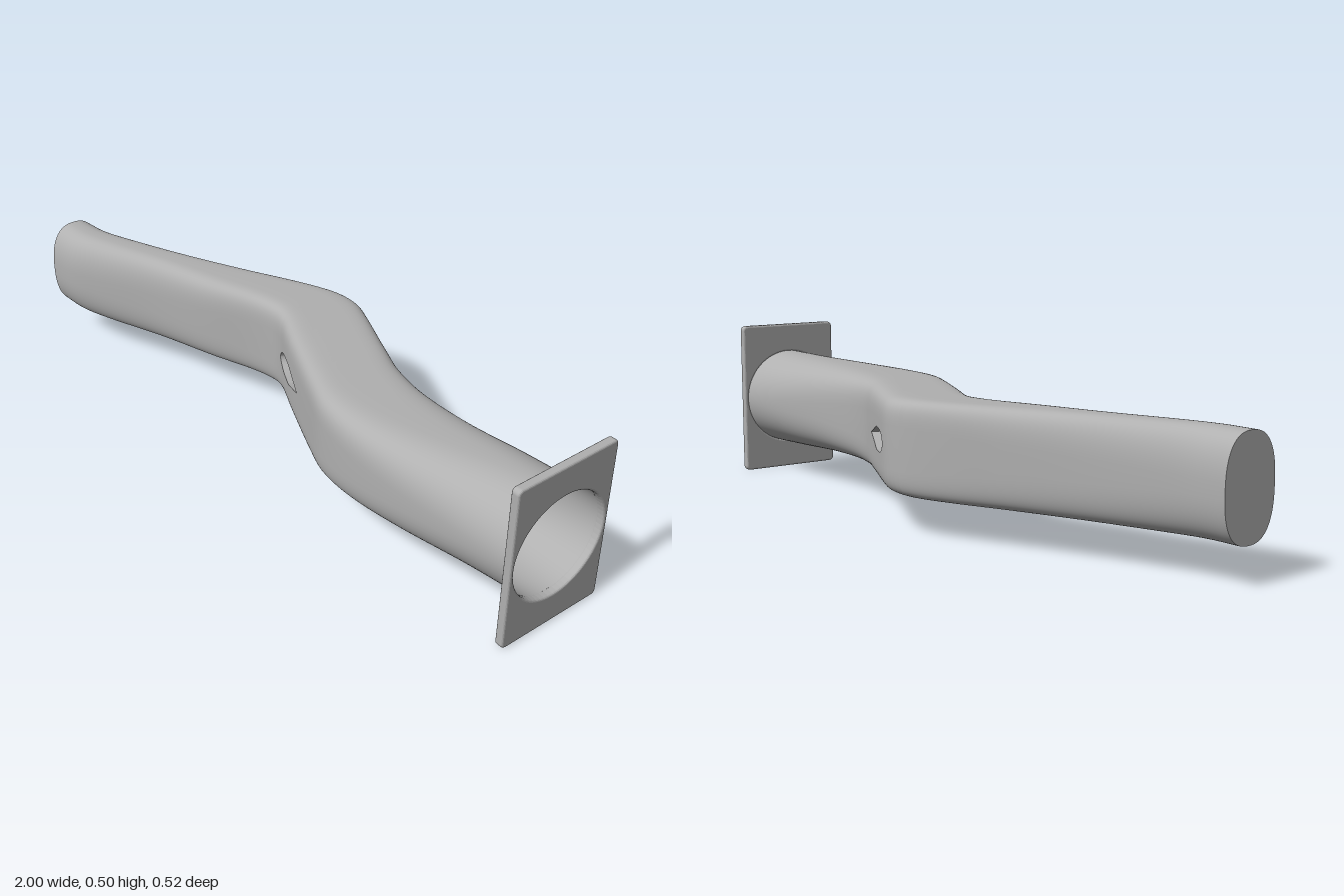
import * as THREE from 'three';
import { mergeVertices } from 'three/addons/utils/BufferGeometryUtils.js';

const MID = 0.25; // height of the duct axis

// stations along the duct: x, front z, back z, half height, squareness of the section
const STATIONS = [
  [-1.0, 0.26, 0.09, 0.143, 2.5],
  [-0.9, 0.25, 0.077, 0.143, 2.6],
  [-0.8, 0.215, 0.045, 0.143, 2.8],
  [-0.6, 0.13, -0.035, 0.142, 3.3],
  [-0.4, 0.06, -0.13, 0.141, 4.2],
  [-0.25, 0.0, -0.205, 0.14, 5.2],
  [-0.16, -0.02, -0.244, 0.14, 5.8],
  [-0.11, -0.011, -0.259, 0.14, 6],
  [-0.05, 0.015, -0.263, 0.14, 6],
  [0.0, 0.038, -0.25, 0.14, 6],
  [0.2, 0.123, -0.168, 0.14, 5.6],
  [0.3, 0.16, -0.132, 0.14, 5],
  [0.43, 0.175, -0.116, 0.141, 4],
  [0.6, 0.166, -0.13, 0.145, 3],
  [0.8, 0.14, -0.17, 0.152, 2.3],
  [0.96, 0.122, -0.192, 0.158, 2],
  [0.99, 0.122, -0.194, 0.158, 2],
];

// teardrop openings: start x on the front and back walls
const HOLE = { front: -0.105, back: -0.002, length: 0.185, half: 0.034 };

// smooth interpolation of one station column at x
function sample(x, col) {
  const S = STATIONS, last = S.length - 1;
  let i = 0;
  while (i < last - 1 && x > S[i + 1][0]) i++;
  const slope = k => {
    const a = S[Math.max(k - 1, 0)], b = S[Math.min(k + 1, last)];
    return (b[col] - a[col]) / (b[0] - a[0]);
  };
  const w = S[i + 1][0] - S[i][0], t = (x - S[i][0]) / w, t2 = t * t, t3 = t2 * t;
  return (2 * t3 - 3 * t2 + 1) * S[i][col] + (t3 - 2 * t2 + t) * w * slope(i)
    + (3 * t2 - 2 * t3) * S[i + 1][col] + (t3 - t2) * w * slope(i + 1);
}

// half height of the teardrop: round nose, then a straight taper to the tip
function teardrop(u) {
  if (u <= 0 || u >= 1) return 0;
  if (u < 0.3) return HOLE.half * Math.sqrt(1 - ((0.3 - u) / 0.3) ** 2);
  return u < 0.5 ? HOLE.half : HOLE.half * (1 - u) / 0.5;
}

// half section from the front opening over the top to the back opening
function halfRing(x, segments) {
  const [zf, zb, hy, n] = [1, 2, 3, 4].map(c => sample(x, c));
  const start = edge => Math.asin((teardrop((x - edge) / HOLE.length) / hy) ** (n / 2));
  const t0 = start(HOLE.front), t1 = Math.PI - start(HOLE.back);
  const points = [];
  for (let j = 0; j <= segments; j++) {
    const t = t0 + (t1 - t0) * j / segments, c = Math.cos(t);
    const y = hy * Math.max(Math.sin(t), 0) ** (2 / n);
    const z = (zf + zb) / 2 + (zf - zb) / 2 * Math.sign(c) * Math.abs(c) ** (2 / n);
    points.push([x, y < 1e-5 ? 0 : y, z]);
  }
  return points;
}

// skin rows of points, once above and once mirrored below the axis
function mirroredSkin(rows) {
  const pos = [], index = [], m = rows[0].length;
  for (const side of [1, -1]) {
    const base = pos.length / 3;
    rows.forEach(row => row.forEach(([x, y, z]) => pos.push(x, MID + side * y, z)));
    for (let i = 0; i < rows.length - 1; i++) {
      for (let j = 0; j < m - 1; j++) {
        const a = base + i * m + j, b = a + m, c = a + 1, d = b + 1;
        if (side > 0) index.push(a, b, c, b, d, c);
        else index.push(a, c, b, b, c, d);
      }
    }
  }
  const geometry = new THREE.BufferGeometry();
  geometry.setAttribute('position', new THREE.Float32BufferAttribute(pos, 3));
  geometry.setIndex(index);
  return geometry;
}

function ductGeometry() {
  const xs = [];
  for (let i = 0; i <= 100; i++) xs.push(-1 + 1.99 * i / 100);
  // extra stations follow the outline of each opening
  for (const edge of [HOLE.front, HOLE.back]) {
    for (let i = 0; i <= 24; i++) xs.push(edge + HOLE.length * (1 - Math.cos(Math.PI * i / 24)) / 2);
  }
  xs.sort((a, b) => a - b);
  const rows = xs.filter((x, i) => i === 0 || x - xs[i - 1] > 1e-4).map(x => halfRing(x, 36));
  const geometry = mergeVertices(mirroredSkin(rows), 1e-5);
  geometry.computeVertexNormals();
  return geometry;
}

// teardrop sleeve joining the two openings
function sleeveGeometry() {
  const rows = [];
  for (let i = 0; i <= 32; i++) {
    const u = (1 - Math.cos(Math.PI * i / 32)) / 2, y = teardrop(u);
    const xf = HOLE.front + u * HOLE.length, xb = HOLE.back + u * HOLE.length;
    const front = halfRing(xf, 1)[0][2], back = halfRing(xb, 1)[1][2];
    rows.push([[xb, y, back], [xf, y, front]]);
  }
  const geometry = mirroredSkin(rows);
  geometry.computeVertexNormals();
  return geometry;
}

// flat lid on the narrow end
function capGeometry() {
  const top = halfRing(-1, 36);
  const outline = [
    ...top.map(([, y, z]) => new THREE.Vector2(z, MID + y)),
    ...top.slice(1, -1).reverse().map(([, y, z]) => new THREE.Vector2(z, MID - y)),
  ];
  return new THREE.ShapeGeometry(new THREE.Shape(outline)).rotateY(-Math.PI / 2).translate(-1, 0, 0);
}

// rounded plate with a round mouth
function flangeGeometry() {
  const bevel = 0.006, w = 0.171 - bevel, h = 0.25 - bevel, r = 0.009;
  const shape = new THREE.Shape();
  shape.moveTo(-w + r, -h);
  shape.absarc(w - r, -h + r, r, -Math.PI / 2, 0);
  shape.absarc(w - r, h - r, r, 0, Math.PI / 2);
  shape.absarc(-w + r, h - r, r, Math.PI / 2, Math.PI);
  shape.absarc(-w + r, -h + r, r, Math.PI, Math.PI * 1.5);
  shape.holes.push(new THREE.Path().absarc(0, 0, 0.158 + bevel - 0.001, 0, Math.PI * 2, true));
  return new THREE.ExtrudeGeometry(shape, {
    depth: 0.014, bevelEnabled: true, bevelSize: bevel, bevelThickness: bevel, bevelSegments: 3, curveSegments: 32,
  }).rotateY(Math.PI / 2).translate(0.98, MID, -0.036);
}

export function createModel() {
  const group = new THREE.Group();
  group.name = 'airDuct';
  const grey = new THREE.MeshStandardMaterial({ color: 0xb0b0b0, side: THREE.DoubleSide });
  grey.name = 'grey';
  const add = (name, geometry) => {
    const mesh = new THREE.Mesh(geometry, grey);
    mesh.name = name;
    group.add(mesh);
  };
  add('ductShell', ductGeometry());
  add('teardropSleeve', sleeveGeometry());
  add('endCap', capGeometry());
  add('mountingFlange', flangeGeometry());
  return group;
}
